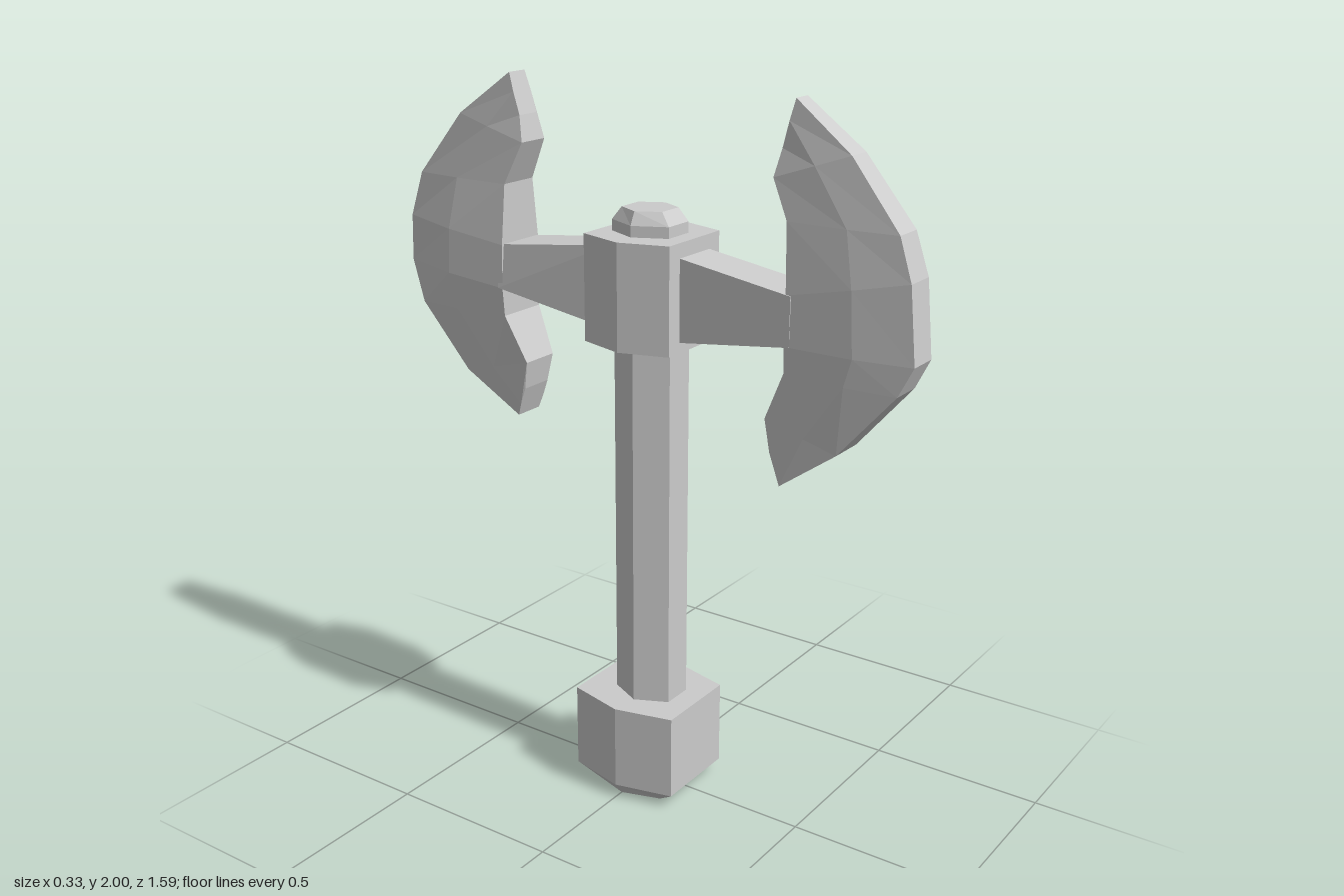
import * as THREE from 'three';

const material = new THREE.MeshStandardMaterial({ color: 0xcccccc, flatShading: true });

// Capped loft through rings of [x, y, z] points; turned outward by its signed volume
function loft(name, rings) {
  const tris = [];
  const n = rings[0].length;
  for (let i = 0; i < rings.length - 1; i++) {
    const a = rings[i], b = rings[i + 1];
    for (let j = 0; j < n; j++) {
      const k = (j + 1) % n;
      tris.push([a[j], a[k], b[k]], [a[j], b[k], b[j]]);
    }
  }
  const first = rings[0], last = rings[rings.length - 1];
  for (let j = 1; j < n - 1; j++) {
    tris.push([first[0], first[j + 1], first[j]], [last[0], last[j], last[j + 1]]);
  }
  const v = (p) => new THREE.Vector3(...p);
  const volume = tris.reduce((s, [a, b, c]) => s + v(a).dot(v(b).cross(v(c))), 0);
  if (volume < 0) tris.forEach((t) => t.reverse());
  const geometry = new THREE.BufferGeometry();
  geometry.setAttribute('position', new THREE.Float32BufferAttribute(tris.flat(2), 3));
  geometry.computeVertexNormals();
  const mesh = new THREE.Mesh(geometry, material);
  mesh.name = name;
  return mesh;
}

// Six-sided ring: points at +-rx, flat sides at +-rz that span +-ex
function hex(y, rx, ex, rz, cz = 0) {
  return [[rx, 0], [ex, rz], [-ex, rz], [-rx, 0], [-ex, -rz], [ex, -rz]]
    .map(([x, z]) => [x, y, z + cz]);
}

// Blade from stations [inner z, inner y, outer z, outer y, body half width, rim half width]
function blade(name, side, stations) {
  return loft(name, stations.map(([iz, iy, oz, oy, body, rim]) => {
    const mz = iz + (oz - iz) * 0.55, my = iy + (oy - iy) * 0.55;
    return [
      [body, iy, iz], [body, my, mz], [rim, oy, oz],
      [-rim, oy, oz], [-body, my, mz], [-body, iy, iz],
    ].map(([x, y, z]) => [x, y, z * side]);
  }));
}

// Tapered arm from stations [z, bottom y, top y, bottom half width, top half width]
function arm(name, stations) {
  return loft(name, stations.map(([z, y0, y1, w0, w1]) =>
    [[-w0, y0, z], [w0, y0, z], [w1, y1, z], [-w1, y1, z]]));
}

export function createModel() {
  const group = new THREE.Group();
  group.add(
    // Handle
    loft('pommel', [
      hex(0, 0.135, 0.1, 0.11), hex(0.04, 0.165, 0.125, 0.165), hex(0.285, 0.165, 0.125, 0.165),
    ]),
    loft('shaft', [hex(0.25, 0.088, 0.045, 0.09, 0.01), hex(1.4, 0.088, 0.045, 0.09, 0.01)]),
    // Head
    loft('collar', [hex(1.33, 0.155, 0.115, 0.135, 0.01), hex(1.62, 0.155, 0.115, 0.135, 0.01)]),
    loft('cap', [
      hex(1.6, 0.087, 0.045, 0.09, 0.005), hex(1.65, 0.087, 0.045, 0.09, 0.005),
      hex(1.685, 0.07, 0.037, 0.064, 0.005),
    ]),
    arm('frontArm', [[0.08, 1.35, 1.59, 0.068, 0.068], [0.47, 1.4, 1.53, 0.068, 0.068]]),
    arm('backArm', [[-0.08, 1.365, 1.585, 0.083, 0.07], [-0.45, 1.42, 1.54, 0.083, 0.07]]),
    // Blades, listed from lower tip to upper tip
    blade('frontBlade', 1, [
      [0.415, 1.11, 0.446, 1.025, 0.055, 0.055],
      [0.4, 1.2, 0.605, 1.14, 0.058, 0.053],
      [0.455, 1.33, 0.76, 1.32, 0.065, 0.047],
      [0.455, 1.4, 0.8, 1.4, 0.067, 0.045],
      [0.455, 1.53, 0.78, 1.6, 0.065, 0.045],
      [0.446, 1.71, 0.743, 1.71, 0.055, 0.042],
      [0.4, 1.81, 0.605, 1.88, 0.046, 0.035],
      [0.415, 1.88, 0.446, 2.0, 0.032, 0.027],
    ]),
    blade('backBlade', -1, [
      [0.39, 1.13, 0.42, 1.045, 0.05, 0.045],
      [0.375, 1.21, 0.6, 1.15, 0.058, 0.05],
      [0.435, 1.34, 0.755, 1.33, 0.075, 0.055],
      [0.435, 1.42, 0.79, 1.45, 0.082, 0.055],
      [0.435, 1.54, 0.785, 1.58, 0.078, 0.055],
      [0.435, 1.705, 0.745, 1.705, 0.06, 0.05],
      [0.38, 1.82, 0.6, 1.88, 0.048, 0.042],
      [0.395, 1.89, 0.43, 2.0, 0.036, 0.032],
    ]),
  );
  return group;
}
